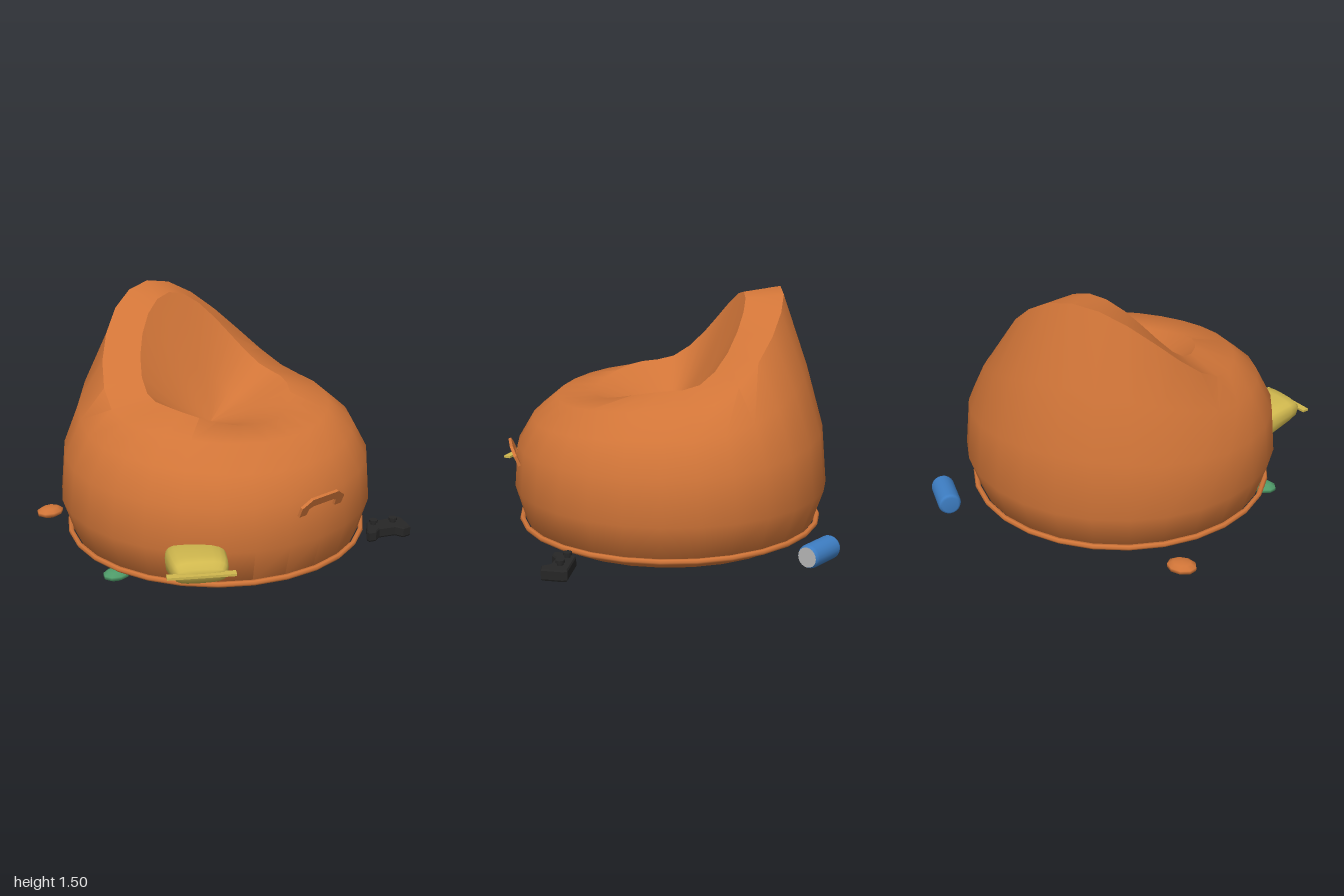
import * as THREE from 'three';
import { toCreasedNormals } from 'three/addons/utils/BufferGeometryUtils.js';

const mat = (name, color) => {
  const m = new THREE.MeshStandardMaterial({ color });
  m.name = name;
  return m;
};

// Skin a stack of closed loops of [x, y, z] points, counter-clockwise about the stacking direction
function loft(rings, crease) {
  const n = rings[0].length, index = [];
  for (let i = 0; i < rings.length - 1; i++) {
    for (let j = 0; j < n; j++) {
      const k = (j + 1) % n, a = i * n + j, b = i * n + k;
      index.push(a, b, b + n, a, b + n, a + n);
    }
  }
  const g = new THREE.BufferGeometry();
  g.setAttribute('position', new THREE.Float32BufferAttribute(rings.flat(2), 3));
  g.setIndex(index);
  return toCreasedNormals(g, crease);
}

export function createModel() {
  const group = new THREE.Group();
  const fabric = mat('orangeFabric', 0xd17538);
  const blue = mat('canBlue', 0x3d7dc2);
  const metal = mat('canMetal', 0xb8b8b8);
  const yellow = mat('bagYellow', 0xd0b84e);
  const green = mat('crumbGreen', 0x4f9b69);
  const black = mat('controllerBlack', 0x262626);

  const add = (name, geometry, material, parent = group) => {
    const mesh = new THREE.Mesh(geometry, material);
    mesh.name = name;
    parent.add(mesh);
    return mesh;
  };

  // Bean bag: round loops whose height rises to the back to form the backrest
  // [radius, centre z, side height, rise at back, drop at front]
  const loops = [
    [0, -0.01, 0.005, 0, 0],
    [0.8, -0.01, 0.005, 0, 0],
    [0.9, -0.01, 0.08, 0, 0],
    [0.97, -0.015, 0.3, 0, 0],
    [0.945, -0.01, 0.575, 0.09, 0.015],
    [0.845, -0.005, 0.77, 0.28, 0.05],
    [0.695, -0.005, 0.9, 0.6, 0.055],
    [0.46, -0.01, 0.97, 0.5, 0.11],
    [0.23, -0.03, 0.82, 0.2, 0.04],
    [0, -0.06, 0.72, 0, 0],
  ];
  const SIDES = 28;
  const rings = loops.map(([r, zc, y, rise, drop]) =>
    Array.from({ length: SIDES }, (_, j) => {
      const a = (j / SIDES) * Math.PI * 2, c = -Math.cos(a);
      return [r * Math.sin(a), y + c * c * (c > 0 ? rise : -drop), zc - r * c];
    }));
  add('beanBag', loft(rings, 0.66), fabric);

  // Piping round the base
  const piping = add('piping', new THREE.TorusGeometry(0.925, 0.017, 6, SIDES), fabric);
  piping.rotation.x = Math.PI / 2;
  piping.position.set(0, 0.085, -0.01);

  // Carry handle on the front
  const arch = new THREE.Shape([
    [-0.165, 0], [-0.11, 0], [-0.105, 0.045], [-0.08, 0.058], [0.08, 0.058], [0.105, 0.045],
    [0.11, 0], [0.165, 0], [0.165, 0.065], [0.1, 0.115], [-0.1, 0.115], [-0.165, 0.065],
  ].map((p) => new THREE.Vector2(...p)));
  const handle = add('handle', new THREE.ExtrudeGeometry(arch, { depth: 0.018, bevelEnabled: false }), fabric);
  handle.position.set(0, 0.475, 0.925);
  handle.rotation.x = 0.4;

  // Snack bag: puffed pillow with a crimped end
  const bag = new THREE.Group();
  bag.name = 'snackBag';
  bag.position.set(-0.83, 0, 0.88);
  bag.rotation.y = -0.546;
  group.add(bag);
  const soft = (v) => Math.sign(v) * Math.abs(v) ** 0.6;
  // [distance along, half width, half height, centre height]
  const sections = [
    [0, 0, 0, 0.295], [0.01, 0.13, 0.03, 0.295], [0.04, 0.15, 0.065, 0.293], [0.1, 0.165, 0.077, 0.288],
    [0.25, 0.175, 0.095, 0.262], [0.38, 0.165, 0.095, 0.238], [0.45, 0.14, 0.06, 0.235], [0.48, 0, 0, 0.235],
  ].map(([t, w, h, y]) => Array.from({ length: 20 }, (_, j) => {
    const a = (j / 20) * Math.PI * 2;
    return [w * soft(Math.cos(a)), y - h * soft(Math.sin(a)), -t];
  }));
  add('bagBody', loft(sections, 1), yellow, bag);
  add('bagCrimp', new THREE.BoxGeometry(0.385, 0.014, 0.045), yellow, bag).position.set(0, 0.297, 0);

  // Drink can lying on its side
  const can = new THREE.Group();
  can.name = 'drinkCan';
  can.position.set(0.865, 0.08, -0.742);
  can.rotation.y = Math.atan2(0.17, 0.195);
  group.add(can);
  const canProfile = [[0, -0.13], [0.05, -0.13], [0.063, -0.122], [0.07, -0.105],
    [0.07, 0.105], [0.066, 0.12], [0.06, 0.13]].map((p) => new THREE.Vector2(...p));
  add('canBody', new THREE.LatheGeometry(canProfile, 20), blue, can).rotation.x = Math.PI / 2;
  add('canLid', new THREE.CircleGeometry(0.06, 20), metal, can).position.z = 0.13;

  // Game controller
  const pad = new THREE.Group();
  pad.name = 'gameController';
  group.add(pad);
  const outline = new THREE.Shape([
    [0.7, 0.65], [0.92, 0.72], [0.92, 0.75], [0.875, 0.865], [0.82, 0.86], [0.8, 0.805],
    [0.7, 0.765], [0.65, 0.785], [0.605, 0.77], [0.61, 0.74],
  ].map(([x, z]) => new THREE.Vector2(x, -z)));
  const padGeometry = new THREE.ExtrudeGeometry(outline, {
    depth: 0.05, bevelSize: 0.006, bevelThickness: 0.01, bevelSegments: 1, bevelOffset: -0.006,
  });
  padGeometry.rotateX(-Math.PI / 2);
  add('controllerBody', padGeometry, black, pad).position.y = 0.016;
  for (const [x, z] of [[0.71, 0.7], [0.83, 0.752]]) {
    add('thumbStickPost', new THREE.CylinderGeometry(0.018, 0.018, 0.03, 10), black, pad).position.set(x, 0.085, z);
    add('thumbStickCap', new THREE.CylinderGeometry(0.027, 0.027, 0.016, 10), black, pad).position.set(x, 0.1, z);
  }

  // Dropped crumbs
  const crumb = (name, material, x, y, z, sx, sy, sz) => {
    const m = add(name, new THREE.SphereGeometry(1, 9, 5), material);
    m.position.set(x, y, z);
    m.scale.set(sx, sy, sz);
  };
  crumb('orangeCrumb', fabric, -0.725, 0.04, -0.835, 0.092, 0.035, 0.075);
  crumb('greenCrumb', green, -0.9, 0.042, 0.165, 0.088, 0.033, 0.07);

  return group;
}
